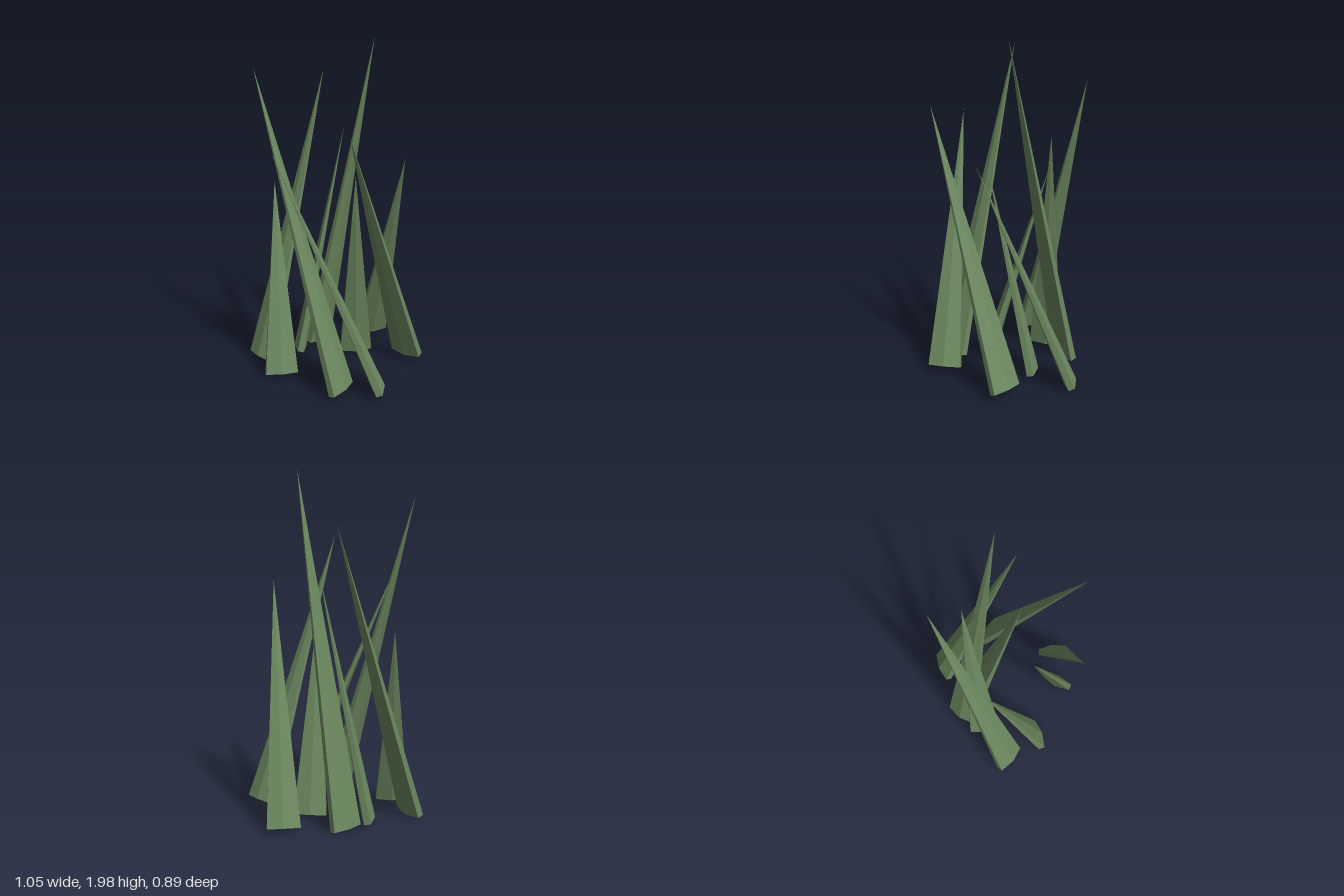
import * as THREE from 'three';

// Each blade: base centre, tip, and the horizontal direction of its broad side
const BLADES = [
  { base: [-0.445, 0.03, -0.01], tip: [-0.09, 1.73, -0.40], wide: [0.14, 0.13] },
  { base: [-0.12, 0.015, -0.295], tip: [0.21, 1.99, -0.04], wide: [0.125, -0.155] },
  { base: [-0.225, 0.03, -0.155], tip: [0.04, 1.44, -0.235], wide: [0.02, 0.19] },
  { base: [0.12, 0.022, -0.155], tip: [0.12, 1.25, 0.105], wide: [0.19, -0.03] },
  { base: [0.21, 0.03, -0.405], tip: [0.39, 1.35, 0.09], wide: [0.185, -0.06] },
  { base: [0.435, 0.055, -0.08], tip: [0.10, 1.58, 0.44], wide: [0.165, 0.1] },
  { base: [0.055, 0.037, 0.35], tip: [-0.43, 1.85, 0.10], wide: [0.1, -0.165] },
  { base: [0.27, 0.05, 0.335], tip: [-0.305, 1.46, 0.38], wide: [0.015, 0.185] },
  { base: [-0.305, 0.032, 0.185], tip: [-0.36, 1.125, -0.135], wide: [0.19, -0.05] },
];
const RADIUS = 0.11;
const FLATNESS = 0.35;

// Flattened six-sided cone running from base to tip
function makeBlade({ base, tip, wide }, material) {
  const foot = new THREE.Vector3(...base);
  const up = new THREE.Vector3(...tip).sub(foot);
  const length = up.length();
  up.normalize();
  const side = new THREE.Vector3(wide[0], 0, wide[1]);
  side.addScaledVector(up, -side.dot(up)).normalize();
  const depth = new THREE.Vector3().crossVectors(side, up);

  const geometry = new THREE.ConeGeometry(RADIUS, length, 6);
  geometry.translate(0, length / 2, 0);
  geometry.scale(1, 1, FLATNESS);
  const blade = new THREE.Mesh(geometry, material);
  blade.quaternion.setFromRotationMatrix(new THREE.Matrix4().makeBasis(side, up, depth));
  blade.position.copy(foot);
  return blade;
}

export function createModel() {
  const group = new THREE.Group();
  group.name = 'grassTuft';
  const grass = new THREE.MeshStandardMaterial({ color: 0x6b875f });
  grass.name = 'grassGreen';
  grass.flatShading = true;
  BLADES.forEach((spec, i) => {
    const blade = makeBlade(spec, grass);
    blade.name = `grassBlade${i + 1}`;
    group.add(blade);
  });
  return group;
}
